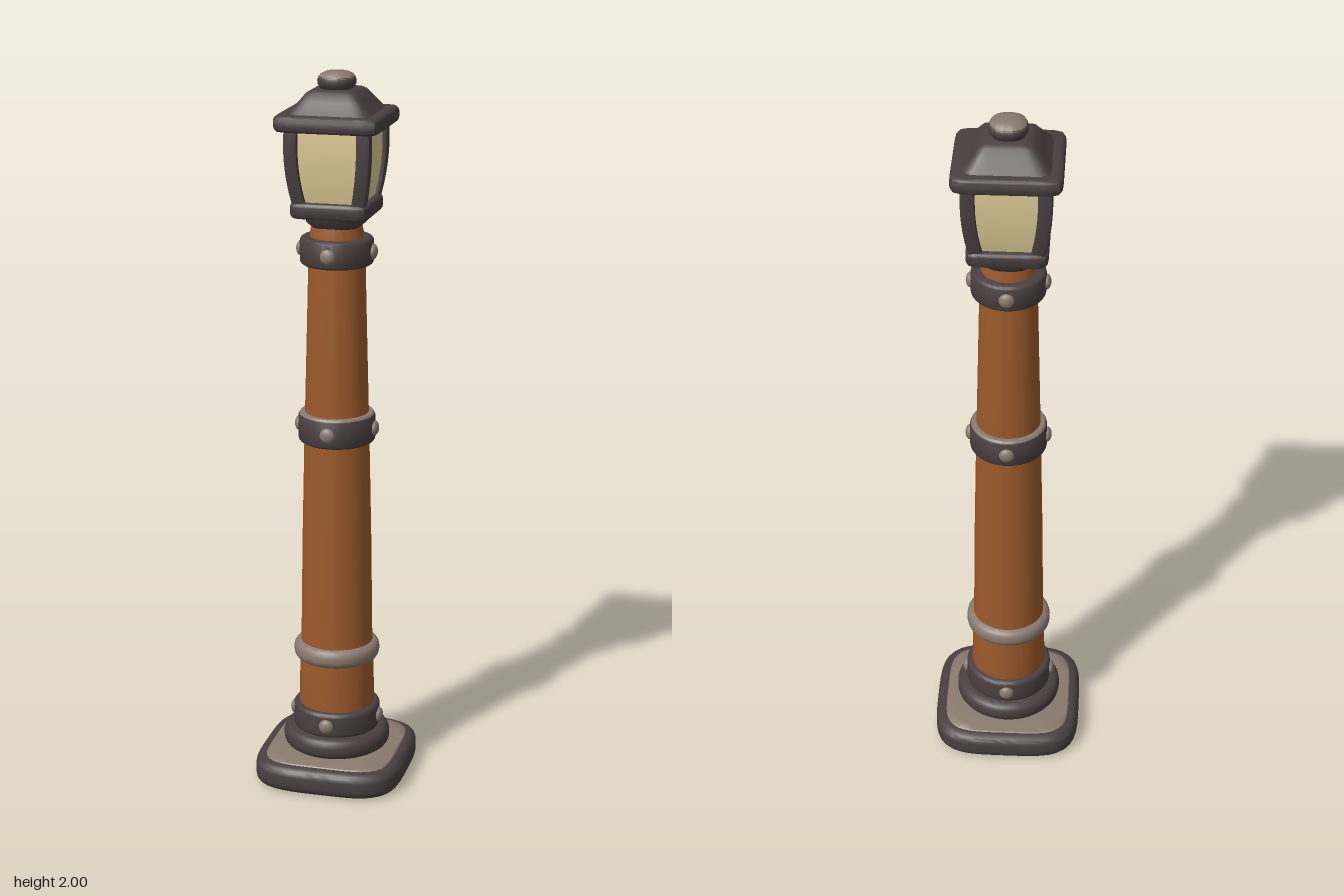
import * as THREE from 'three';
import { mergeVertices, toCreasedNormals } from 'three/addons/utils/BufferGeometryUtils.js';

const mat = (name, color) => Object.assign(new THREE.MeshStandardMaterial({ color }), { name });

export function createModel() {
  const group = new THREE.Group();
  const iron = mat('dark iron', 0x4a3f40);
  const worn = mat('worn metal', 0x8a7a6f);
  const wood = mat('wood', 0x9c5a2b);
  const glass = mat('lamp glass', 0xdccb95);

  const add = (name, geometry, material) => {
    const mesh = new THREE.Mesh(geometry, material);
    mesh.name = name;
    group.add(mesh);
    return mesh;
  };

  // Turned profile [radius, height]; power 2 is round, higher powers become squarer
  const turned = (profile, power = 2) => {
    let g = new THREE.LatheGeometry(profile.map(([r, y]) => new THREE.Vector2(r, y)), 64);
    const p = g.attributes.position;
    for (let i = 0; i < p.count; i++) {
      const x = p.getX(i), z = p.getZ(i), r = Math.hypot(x, z);
      if (r < 1e-6) continue;
      const k = 1 / Math.pow(Math.abs(x / r) ** power + Math.abs(z / r) ** power, 1 / power);
      p.setXYZ(i, x * k, p.getY(i), z * k);
    }
    g.deleteAttribute('uv');
    g.deleteAttribute('normal');
    g = mergeVertices(g, 1e-5);
    return toCreasedNormals(g, 0.7);
  };

  // Slab profile with rounded rims, closed at both ends
  const slab = (r, y0, y1, b) => {
    const pts = [[0, y0]];
    for (let i = 0; i <= 4; i++) {
      const a = (i / 4) * Math.PI / 2;
      pts.push([r - b + b * Math.sin(a), y0 + b - b * Math.cos(a)]);
    }
    for (let i = 0; i <= 4; i++) {
      const a = (i / 4) * Math.PI / 2;
      pts.push([r - b + b * Math.cos(a), y1 - b + b * Math.sin(a)]);
    }
    pts.push([0, y1]);
    return pts;
  };

  // Foot with a worn top face
  add('base', turned(slab(0.21, 0, 0.076, 0.025), 4), iron).scale.z = 1.03;
  add('baseWornTop', turned([[0.182, 0.074], [0.178, 0.079], [0.16, 0.082], [0, 0.082]], 4.5), worn).scale.z = 1.03;
  add('baseRing', turned(slab(0.15, 0.082, 0.142, 0.024)), iron);

  // Tapered shaft
  add('shaft', turned([[0, 0.13], [0.1, 0.13], [0.106, 0.22], [0.104, 0.32], [0.1, 0.42],
    [0.096, 0.7], [0.09, 0.98], [0.083, 1.25], [0.077, 1.5], [0.072, 1.57], [0.066, 1.6], [0, 1.6]]), wood);
  add('lowerRing', turned(slab(0.12, 0.345, 0.4, 0.022)), worn);

  // Iron bands, each with four rivets
  const rivet = new THREE.SphereGeometry(0.021, 16, 12);
  const bands = [['collar', 0.122, 0.138, 0.212], ['middleBand', 0.106, 0.985, 1.068], ['upperBand', 0.1, 1.482, 1.558]];
  for (const [name, r, y0, y1] of bands) {
    add(name, turned(slab(r, y0, y1, 0.013)), iron);
    for (let i = 0; i < 4; i++) {
      const a = i * Math.PI / 2;
      const m = add(name + 'Rivet', rivet, worn);
      m.position.set(Math.sin(a) * r, (y0 + y1) / 2, Math.cos(a) * r);
      m.rotation.y = a;
      m.scale.z = 0.6;
    }
  }
  add('middleBandWornEdge', turned([[0.103, 1.064], [0.099, 1.069], [0.08, 1.07]]), worn);

  // Lantern floor
  add('lanternNeck', turned([[0, 1.585], [0.066, 1.587], [0.08, 1.6], [0.086, 1.625], [0, 1.625]], 2.5), iron);
  add('lanternFloor', turned(slab(0.107, 1.618, 1.662, 0.012), 10), iron);

  // Bulging glass and the four corner posts share one side curve
  const side = (y) => {
    const t = (y - 1.65) / 0.21;
    return 0.098 + 0.05 * t - 0.032 * t * t;
  };
  const panes = [];
  for (let i = 0; i <= 10; i++) {
    const y = 1.65 + 0.021 * i;
    panes.push([side(y) - 0.012, y]);
  }
  add('lanternGlass', turned(panes, 24), glass);
  for (const sx of [-1, 1]) for (const sz of [-1, 1]) {
    let g = new THREE.CylinderGeometry(0.019, 0.019, 0.21, 24, 10);
    const p = g.attributes.position;
    for (let i = 0; i < p.count; i++) {
      const x = p.getX(i), z = p.getZ(i), y = p.getY(i) + 1.755;
      // Square up the section, then follow the side curve
      const r = Math.hypot(x, z) || 1;
      const k = 1 / Math.pow((x / r) ** 6 + (z / r) ** 6 || 1, 1 / 6);
      const o = side(y) - 0.019;
      p.setXYZ(i, x * k + sx * o, y, z * k + sz * o);
    }
    g.deleteAttribute('uv');
    g.deleteAttribute('normal');
    add('lanternPost', toCreasedNormals(mergeVertices(g, 1e-5), 0.7), iron);
  }

  // Roof and knob
  add('roofEave', turned(slab(0.143, 1.852, 1.896, 0.014), 12), iron);
  add('roof', turned([[0.118, 1.89], [0.108, 1.9], [0.085, 1.928], [0.07, 1.947], [0.058, 1.954], [0, 1.955]], 10), iron);
  add('knob', turned([[0.03, 1.95], [0.043, 1.955], [0.05, 1.966], [0.051, 1.976], [0.048, 1.985], [0.042, 1.991]], 2.3), iron);
  add('knobWornTop', turned([[0.049, 1.983], [0.043, 1.992], [0.03, 1.998], [0, 2]], 2.3), worn);

  return group;
}
